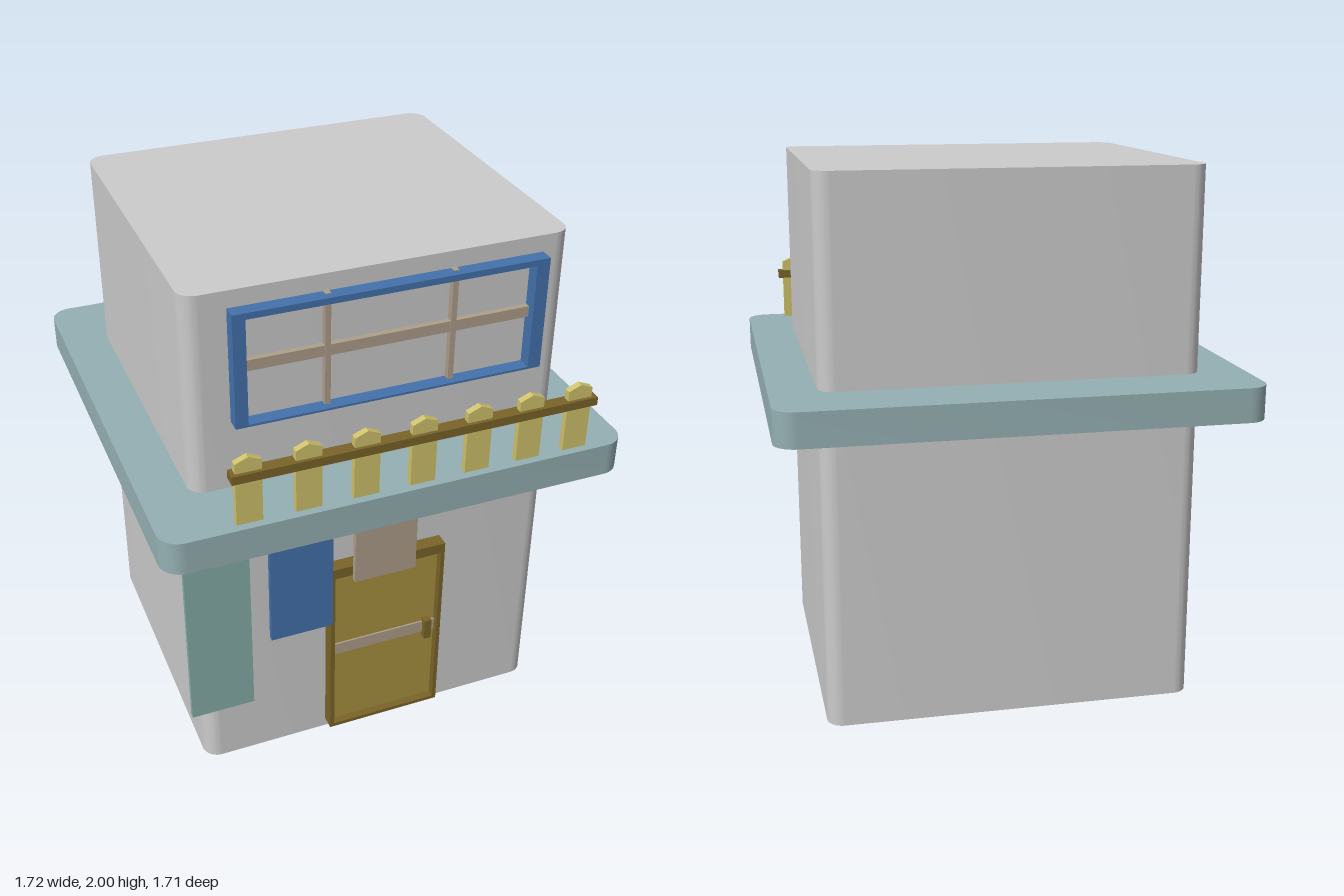
import * as THREE from 'three';
import { toCreasedNormals } from 'three/addons/utils/BufferGeometryUtils.js';

const mat = (color) => new THREE.MeshStandardMaterial({ color });
const GREY = mat(0xcccccc), SLATE = mat(0x95b0b3), TEAL = mat(0x86ada9), BLUE = mat(0x4472ac);
const TAN = mat(0xad9f8a), YELLOW = mat(0xcfc36c), BROWN = mat(0x7a6428), OCHRE = mat(0xa99240);

function add(parent, name, geometry, material) {
  const mesh = new THREE.Mesh(geometry, material);
  mesh.name = name;
  parent.add(mesh);
  return mesh;
}

// Box given by its limits on each axis
function box(parent, name, material, [x0, x1], [y0, y1], [z0, z1]) {
  const mesh = add(parent, name, new THREE.BoxGeometry(x1 - x0, y1 - y0, z1 - z0), material);
  mesh.position.set((x0 + x1) / 2, (y0 + y1) / 2, (z0 + z1) / 2);
  return mesh;
}

// Upright block with rounded vertical edges
function roundedBlock(parent, name, material, halfX, halfZ, r, y0, y1) {
  const s = new THREE.Shape();
  s.absarc(halfX - r, halfZ - r, r, 0, Math.PI / 2);
  s.absarc(-halfX + r, halfZ - r, r, Math.PI / 2, Math.PI);
  s.absarc(-halfX + r, -halfZ + r, r, Math.PI, Math.PI * 1.5);
  s.absarc(halfX - r, -halfZ + r, r, Math.PI * 1.5, Math.PI * 2);
  s.closePath();
  const g = new THREE.ExtrudeGeometry(s, { depth: y1 - y0, bevelEnabled: false, curveSegments: 8 });
  g.rotateX(-Math.PI / 2).translate(0, y0, 0);
  return add(parent, name, toCreasedNormals(g, 0.6), material);
}

// Rectangular frame with an opening
function frame(parent, name, material, [x0, x1, y0, y1], [a0, a1, b0, b1], [z0, z1]) {
  const rect = (p, l, r, b, t) => p.moveTo(l, b).lineTo(r, b).lineTo(r, t).lineTo(l, t).closePath();
  const s = rect(new THREE.Shape(), x0, x1, y0, y1);
  s.holes.push(rect(new THREE.Path(), a0, a1, b0, b1));
  const g = new THREE.ExtrudeGeometry(s, { depth: z1 - z0, bevelEnabled: false });
  return add(parent, name, g.translate(0, 0, z0), material);
}

export function createModel() {
  const model = new THREE.Group();
  model.name = 'building';
  const group = (name) => {
    const g = new THREE.Group();
    g.name = name;
    model.add(g);
    return g;
  };

  // Tower and surrounding balcony slab
  roundedBlock(model, 'tower', GREY, 0.69, 0.615, 0.06, 0, 2);
  roundedBlock(model, 'balconySlab', SLATE, 0.86, 0.857, 0.08, 1.13, 1.255);

  // Window: frame, crossbar and two uprights
  const win = group('window');
  frame(win, 'windowFrame', BLUE, [-0.54, 0.585, 1.517, 1.938], [-0.495, 0.537, 1.525, 1.915], [0.6, 0.667]);
  box(win, 'windowCrossbar', TAN, [-0.5, 0.54], [1.71, 1.75], [0.605, 0.637]);
  for (const x of [-0.206, 0.249])
    box(win, 'windowUpright', TAN, [x - 0.01, x + 0.01], [1.52, 1.941], [0.605, 0.64]);

  // Door: frame, recessed panel, band and handle
  const door = group('door');
  frame(door, 'doorFrame', BROWN, [-0.2, 0.257, 0.038, 0.825], [-0.183, 0.241, 0.053, 0.783], [0.6, 0.669]);
  box(door, 'doorPanel', OCHRE, [-0.184, 0.242], [0.052, 0.784], [0.6, 0.64]);
  box(door, 'doorBand', TAN, [-0.183, 0.241], [0.394, 0.444], [0.62, 0.647]);
  box(door, 'doorHandle', BROWN, [0.191, 0.22], [0.372, 0.46], [0.62, 0.668]);

  // Fence: pointed pickets and a rail
  const fence = group('fence');
  const p = new THREE.Shape();
  p.moveTo(-0.046, 1.25).lineTo(0.046, 1.25).lineTo(0.046, 1.495).lineTo(0, 1.514).lineTo(-0.046, 1.495).closePath();
  const picketGeo = new THREE.ExtrudeGeometry(p, { depth: 0.025, bevelEnabled: false });
  for (const x of [-0.553, -0.345, -0.138, 0.07, 0.275, 0.473, 0.66])
    add(fence, 'picket', picketGeo, YELLOW).position.set(x, 0, 0.802);
  box(fence, 'fenceRail', BROWN, [-0.614, 0.725], [1.426, 1.458], [0.792, 0.84]);

  // Banners hanging under the slab
  const banners = group('banners');
  for (const [name, material, x0, x1, y] of [
    ['longBanner', TEAL, -0.79, -0.56, 0.455],
    ['middleBanner', BLUE, -0.488, -0.258, 0.72],
    ['shortBanner', TAN, -0.175, 0.058, 0.89],
  ]) box(banners, name, material, [x0, x1], [y, 1.14], [0.808, 0.828]);

  return model;
}
